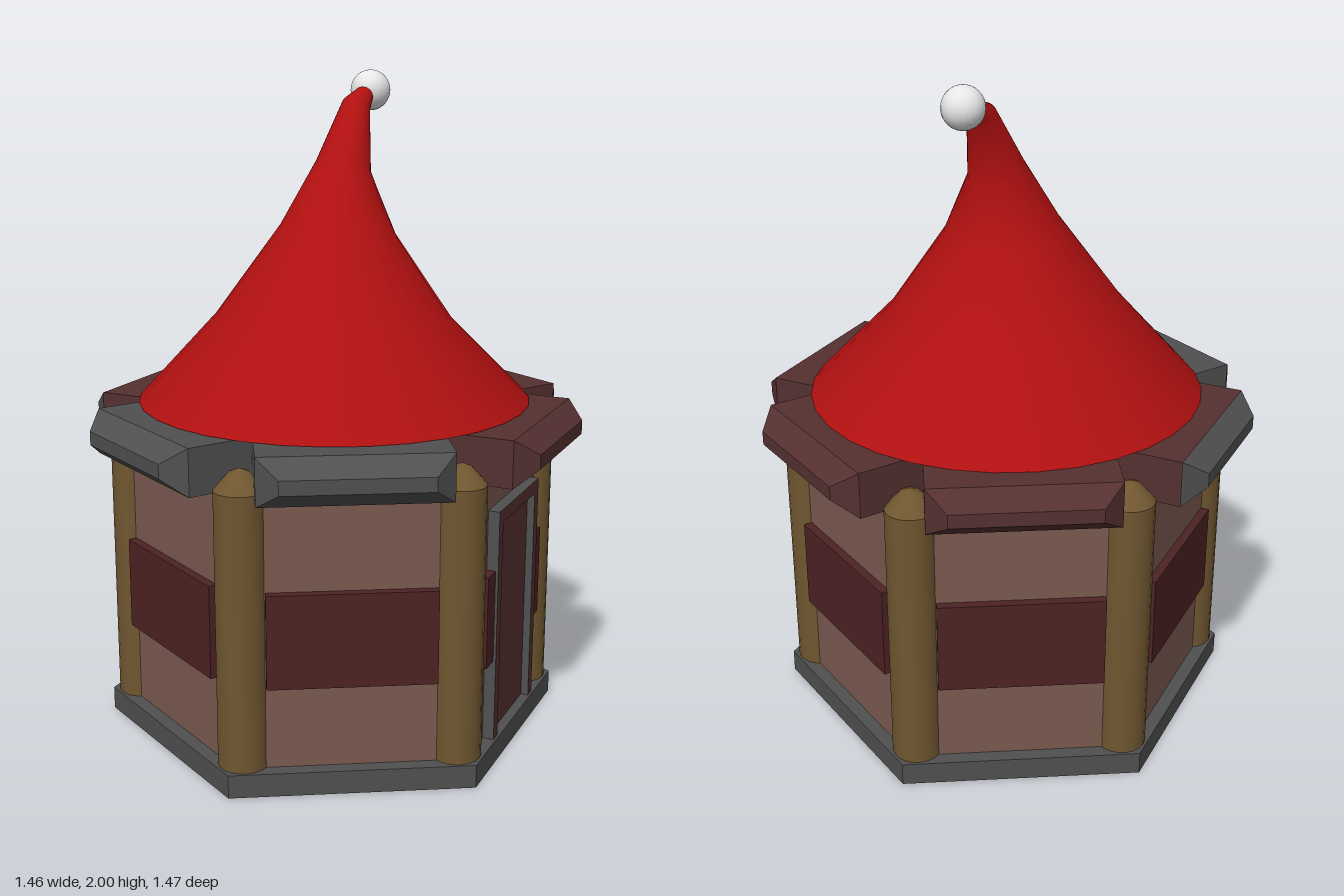
import * as THREE from 'three';

const mat = (name, color) => {
  const m = new THREE.MeshStandardMaterial({ color });
  m.name = name;
  return m;
};

export function createModel() {
  const root = new THREE.Group();
  root.name = 'cottage';
  const stone = mat('grey stone', 0x505050);
  const wood = mat('brown wood', 0x6f5630);
  const plaster = mat('wall plaster', 0x7a5a50);
  const maroon = mat('maroon band', 0x4d2223);
  const russet = mat('russet trim', 0x553030);
  const red = mat('roof red', 0xb01010);
  const white = mat('white', 0xe8e8e8);

  const add = (parent, name, geo, material, x = 0, y = 0, z = 0) => {
    const m = new THREE.Mesh(geo, material);
    m.name = name;
    m.position.set(x, y, z);
    parent.add(m);
    return m;
  };
  const flat = (geo) => {
    const g = geo.toNonIndexed();
    g.computeVertexNormals();
    return g;
  };
  const hexPrism = (r, h) => flat(new THREE.CylinderGeometry(r, r, h, 6));

  // Hexagonal base and walls
  add(root, 'base', hexPrism(0.71, 0.07), stone, 0, 0.035, 0);
  add(root, 'walls', hexPrism(0.662, 0.83), plaster, 0, 0.475, 0);

  // Round corner posts with pointed tops
  const postProfile = [[0.075, 0.06], [0.075, 0.89], [0.075, 0.89], [0.03, 0.94], [0, 0.952]]
    .map(([r, y]) => new THREE.Vector2(r, y));
  const postGeo = new THREE.LatheGeometry(postProfile, 20);
  for (let i = 0; i < 6; i++) {
    const a = (i * Math.PI) / 3;
    add(root, 'post', postGeo, wood, 0.615 * Math.sin(a), 0, 0.615 * Math.cos(a));
  }

  // Eave block: slab with a bevelled outer face
  const slabGeo = new THREE.BoxGeometry(0.54, 0.14, 0.21);
  const bevelBox = new THREE.BoxGeometry(0.54, 0.14, 0.06);
  const p = bevelBox.attributes.position;
  for (let i = 0; i < p.count; i++) {
    if (p.getZ(i) > 0) p.setXY(i, p.getX(i) * 0.78, p.getY(i) * 0.3);
  }
  const bevelGeo = flat(bevelBox);

  // Six sides; local +z points outward
  const slabMats = [stone, russet, russet, russet, russet, stone];
  const bevelMats = [stone, russet, russet, russet, stone, stone];
  for (let i = 0; i < 6; i++) {
    const side = new THREE.Group();
    side.name = i === 1 ? 'doorSide' : 'side';
    side.rotation.y = Math.PI / 6 + (i * Math.PI) / 3;
    root.add(side);
    add(side, 'eaveSlab', slabGeo, slabMats[i], 0, 0.95, 0.565);
    add(side, 'eaveBevel', bevelGeo, bevelMats[i], 0, 0.95, 0.7);
    if (i !== 1) {
      add(side, 'wallBand', new THREE.BoxGeometry(0.486, 0.28, 0.04), maroon, 0, 0.46, 0.58);
      continue;
    }
    // Door with frame, band broken on both sides of it
    for (const s of [-1, 1]) {
      add(side, 'wallBand', new THREE.BoxGeometry(0.07, 0.28, 0.04), maroon, s * 0.212, 0.46, 0.58);
    }
    const frame = new THREE.Shape([[-0.185, 0.07], [-0.15, 0.07], [-0.15, 0.74], [0.15, 0.74],
      [0.15, 0.07], [0.185, 0.07], [0.185, 0.78], [-0.185, 0.78]].map(([x, y]) => new THREE.Vector2(x, y)));
    const frameGeo = new THREE.ExtrudeGeometry(frame, { depth: 0.038, bevelEnabled: false });
    add(side, 'doorFrame', frameGeo, [russet, stone], 0, 0, 0.57);
    add(side, 'door', new THREE.BoxGeometry(0.3, 0.67, 0.02), russet, 0, 0.405, 0.575);
  }

  // Bent conical roof: rings given as half width, front z/y, back z/y
  const rings = [
    [0.6, 0.6, 1.022, -0.6, 1.022],
    [0.36, 0.365, 1.29, -0.36, 1.255],
    [0.175, 0.15, 1.565, -0.2, 1.5],
    [0.085, 0.01, 1.755, -0.14, 1.675],
    [0.045, -0.13, 1.925, -0.185, 1.86],
    [0.025, -0.24, 1.96, -0.235, 1.905],
  ];
  const N = 32;
  const pos = [];
  const idx = [];
  rings.forEach(([w, fz, fy, bz, by], r) => {
    for (let j = 0; j < N; j++) {
      const a = (j / N) * Math.PI * 2;
      const t = (1 + Math.cos(a)) / 2;
      pos.push(w * Math.sin(a), by + (fy - by) * t, bz + (fz - bz) * t);
      if (r === 0) continue;
      const k = (j + 1) % N;
      const lo = (r - 1) * N;
      const hi = r * N;
      idx.push(lo + j, lo + k, hi + k, lo + j, hi + k, hi + j);
    }
  });
  const roofGeo = new THREE.BufferGeometry();
  roofGeo.setAttribute('position', new THREE.Float32BufferAttribute(pos, 3));
  roofGeo.setIndex(idx);
  roofGeo.computeVertexNormals();
  add(root, 'roof', roofGeo, red);
  add(root, 'roofUnderside', new THREE.CircleGeometry(0.6, N), red, 0, 1.021, 0).rotation.x = Math.PI / 2;

  // Ball at the roof tip
  add(root, 'tipBall', new THREE.SphereGeometry(0.062, 24, 16), white, 0, 1.938, -0.267);
  return root;
}
